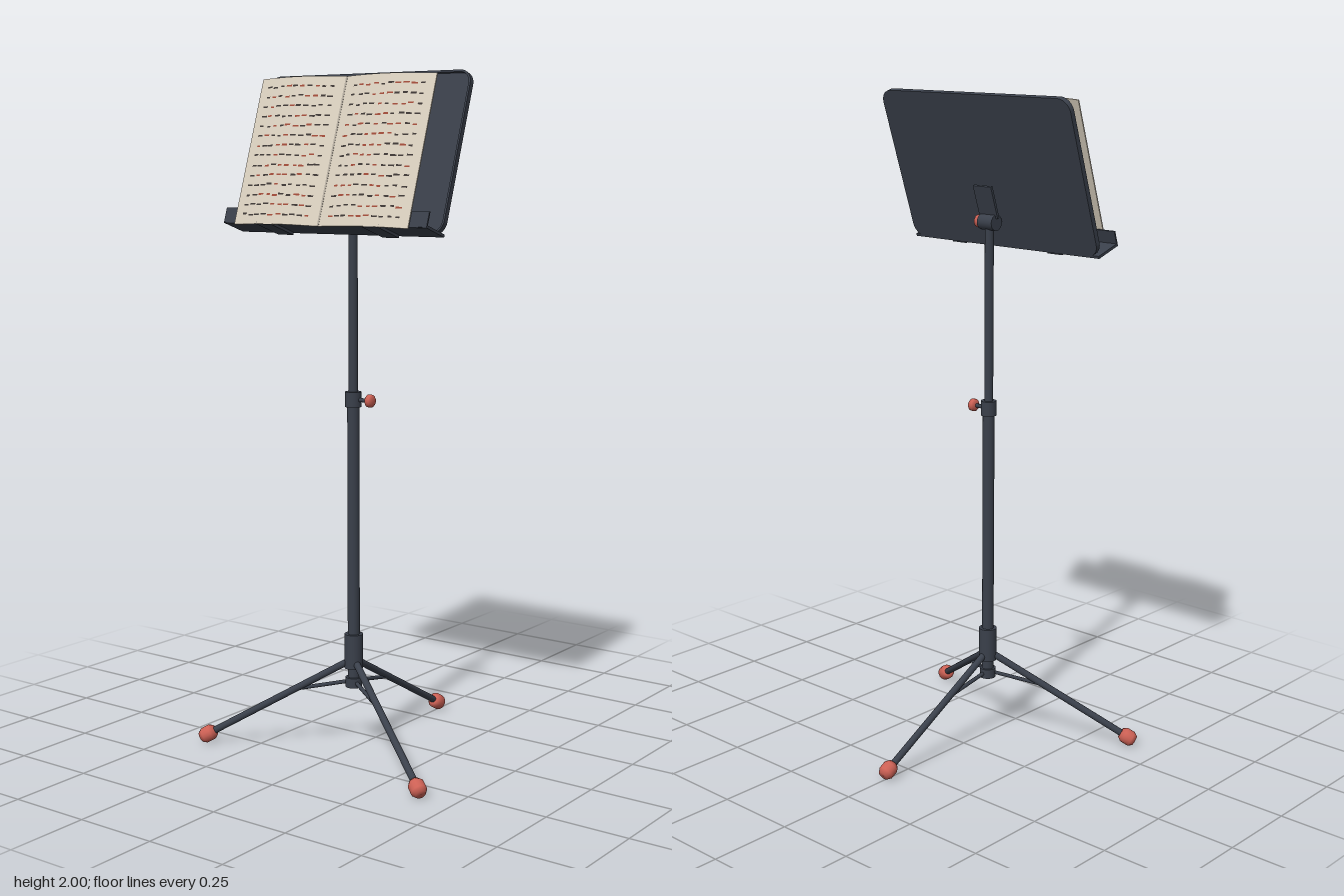
import * as THREE from 'three';
import { mergeGeometries } from 'three/addons/utils/BufferGeometryUtils.js';

export function createModel() {
  const mat = (name, color, side = THREE.FrontSide) =>
    Object.assign(new THREE.MeshStandardMaterial({ color, side }), { name });
  const metal = mat('dark metal', 0x3a404b);
  const red = mat('red rubber', 0xcd6155);
  const paper = mat('cream paper', 0xdbd1c0);
  const fold = mat('page fold', 0xb5ada0);
  const ink = mat('dark ink', 0x3c3634);
  const redInk = mat('red ink', 0xa04a38);

  const model = new THREE.Group();
  model.name = 'musicStand';
  const UP = new THREE.Vector3(0, 1, 0);
  const V = (x, y, z) => new THREE.Vector3(x, y, z);

  function add(parent, name, geo, material, x = 0, y = 0, z = 0) {
    const m = new THREE.Mesh(geo, material);
    m.name = name;
    m.position.set(x, y, z);
    parent.add(m);
    return m;
  }
  // round bar between two points
  function rod(parent, name, a, b, r, material = metal, sides = 16) {
    const d = b.clone().sub(a);
    const m = add(parent, name, new THREE.CylinderGeometry(r, r, d.length(), sides), material);
    m.position.copy(a).addScaledVector(d, 0.5);
    m.quaternion.setFromUnitVectors(UP, d.normalize());
    return m;
  }
  // chamfered rubber end, axis along y
  function capGeometry(r, h) {
    const pts = [[0, -h], [r * 0.65, -h], [r, -h * 0.5], [r, h * 0.5], [r * 0.65, h], [0, h]];
    return new THREE.LatheGeometry(pts.map(p => new THREE.Vector2(...p)), 16);
  }

  // Column and tripod
  const base = new THREE.Group();
  base.name = 'column';
  base.position.z = 0.112;
  model.add(base);
  const upright = (name, y0, y1, r) => rod(base, name, V(0, y0, 0), V(0, y1, 0), r, metal, 20);
  upright('lowerTube', 0.2, 1.06, 0.018);
  upright('upperTube', 1.04, 1.625, 0.0135);
  upright('heightCollar', 1.04, 1.085, 0.024);
  upright('legHub', 0.25, 0.355, 0.028);
  upright('braceRing', 0.192, 0.222, 0.025);

  for (let i = 0; i < 3; i++) {
    const leg = new THREE.Group();
    leg.name = 'leg' + (i + 1);
    leg.rotation.y = Math.PI + i * Math.PI * 2 / 3;
    base.add(leg);
    const top = V(0, 0.27, 0.015), end = V(0, 0.028, 0.447);
    rod(leg, 'legTube', top, end, 0.0105);
    rod(leg, 'legBrace', V(0, 0.208, 0.015), V(0, 0.177, 0.185), 0.006, metal, 8);
    add(leg, 'foot', capGeometry(0.024, 0.025), red, end.x, end.y, end.z)
      .quaternion.setFromUnitVectors(UP, end.clone().sub(top).normalize());
  }

  // Clamping knobs on the left side
  rod(base, 'heightScrew', V(0.015, 1.062, 0), V(0.055, 1.062, 0), 0.006);
  add(base, 'heightKnob', capGeometry(0.019, 0.012), red, 0.061, 1.062, 0).rotation.z = Math.PI / 2;
  rod(base, 'tiltHinge', V(-0.028, 1.625, 0), V(0.028, 1.625, 0), 0.024);
  add(base, 'tiltKnob', capGeometry(0.019, 0.012), red, 0.038, 1.625, 0).rotation.z = Math.PI / 2;

  // Tilted desk: local y runs up the plate, local z points toward the reader
  const desk = new THREE.Group();
  desk.name = 'desk';
  desk.position.set(0, 1.55, 0.18);
  desk.rotation.x = -0.32;
  model.add(desk);
  const box = (name, w, h, d, x, y, z) =>
    add(desk, name, new THREE.BoxGeometry(w, h, d), metal, x, y, z);

  function roundedRect(C, w, y0, y1, r) {
    const s = new C();
    s.moveTo(-w + r, y0);
    s.lineTo(w - r, y0);
    s.absarc(w - r, y0 + r, r, -Math.PI / 2, 0);
    s.absarc(w - r, y1 - r, r, 0, Math.PI / 2);
    s.absarc(-w + r, y1 - r, r, Math.PI / 2, Math.PI);
    s.absarc(-w + r, y0 + r, r, Math.PI, Math.PI * 1.5);
    return s;
  }
  const extrude = (shape, depth) =>
    new THREE.ExtrudeGeometry(shape, { depth, bevelEnabled: false, curveSegments: 8 });
  add(desk, 'backPlate', extrude(roundedRect(THREE.Shape, 0.36, 0, 0.474, 0.04), 0.006), metal, 0, 0, -0.006);
  const rim = roundedRect(THREE.Shape, 0.36, 0, 0.474, 0.04);
  rim.holes.push(roundedRect(THREE.Path, 0.354, 0.006, 0.468, 0.034));
  add(desk, 'plateRim', extrude(rim, 0.01), metal);

  box('tray', 0.72, 0.008, 0.09, 0, 0, 0.041);
  box('trayLip', 0.72, 0.045, 0.005, 0, 0.02, 0.0845);
  box('tiltBracket', 0.07, 0.1, 0.008, 0, 0.155, -0.036);
  for (const s of [-1, 1]) {
    box('trayClip', 0.056, 0.008, 0.105, s * 0.188, -0.008, 0.057);
    for (const y of [0.168, 0.347]) box('bookArm', 0.032, 0.02, 0.1, s * 0.19, y, 0.05);
  }

  // Open book: each page bows gently toward the reader
  const W = 0.308, bow = 0.013, z0 = 0.097;
  const curve = x => bow * Math.sin(Math.PI * Math.abs(x) / W);
  const slope = x => Math.sign(x) * bow * Math.PI / W * Math.cos(Math.PI * Math.abs(x) / W);
  for (const s of [-1, 1]) {
    const g = new THREE.BoxGeometry(W, 0.442, 0.004, 16, 1, 1);
    g.translate(s * W / 2, 0.21, z0);
    const p = g.attributes.position;
    for (let i = 0; i < p.count; i++) p.setZ(i, p.getZ(i) + curve(p.getX(i)));
    g.computeVertexNormals();
    add(desk, s > 0 ? 'leftPage' : 'rightPage', g, paper);
  }
  add(desk, 'bookFold', new THREE.BoxGeometry(0.006, 0.442, 0.004), fold, 0, 0.21, z0 + 0.001);

  // Printed rows of short marks, following the page curve
  let seed = 7;
  const rnd = () => (seed = (seed * 16807) % 2147483647) / 2147483647;
  const marks = { dark: [], red: [] };
  for (const s of [-1, 1]) {
    for (let row = 0; row < 14; row++) {
      const y = 0.018 + row * 0.0295;
      for (let k = 0; k < 10; k++) {
        const len = 0.012 + rnd() * 0.009;
        const x = s * (0.04 + k * 0.0258 + (rnd() - 0.5) * 0.006);
        const g = new THREE.PlaneGeometry(len, 0.0048);
        g.rotateY(-Math.atan(slope(x)));
        g.translate(x, y + (rnd() - 0.5) * 0.005, z0 + 0.0028 + curve(x));
        const isRed = rnd() < (k > 2 && k < 7 ? 0.55 : 0.25);
        marks[isRed ? 'red' : 'dark'].push(g);
      }
    }
  }
  add(desk, 'darkMarks', mergeGeometries(marks.dark), ink);
  add(desk, 'redMarks', mergeGeometries(marks.red), redInk);

  return model;
}
